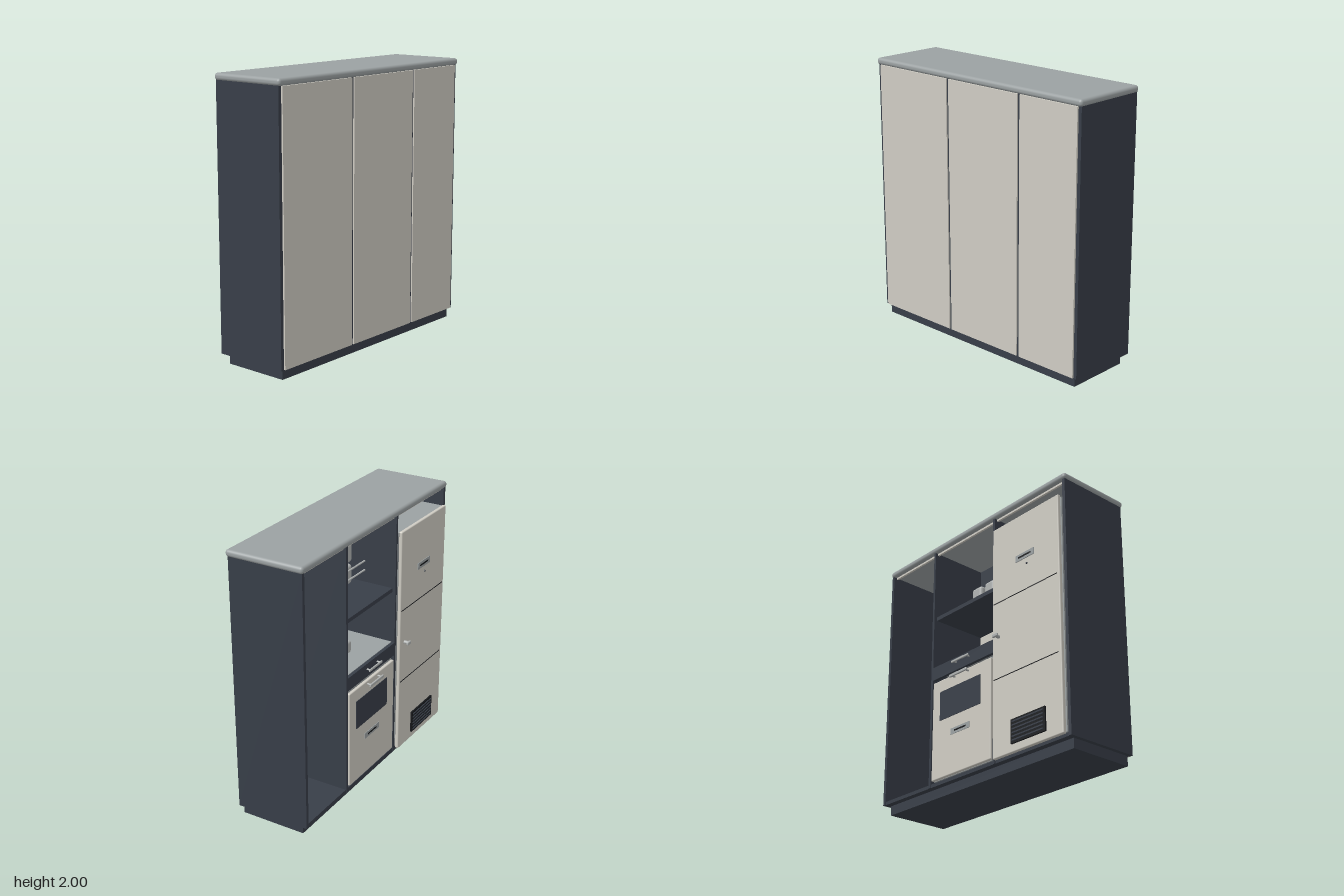
import * as THREE from 'three';
import { RoundedBoxGeometry } from 'three/addons/geometries/RoundedBoxGeometry.js';

const mat = (name, color) => new THREE.MeshStandardMaterial({ name, color });

export function createModel() {
  const model = new THREE.Group();
  model.name = 'kitchenCabinet';
  const cream = mat('cream', 0xcfccc3);
  const grey = mat('stoneGrey', 0x9ba1a2);
  const metal = mat('metal', 0xb0b3b2);
  const dark = mat('charcoal', 0x383e48);
  const black = mat('black', 0x17191c);

  const add = (name, geo, material, parent = model) => {
    const mesh = new THREE.Mesh(geo, material);
    mesh.name = name;
    parent.add(mesh);
    return mesh;
  };
  // Box given by its limits on each axis; r rounds the edges
  const box = (name, material, [x0, x1], [y0, y1], [z0, z1], r = 0, parent = model) => {
    const size = [x1 - x0, y1 - y0, z1 - z0];
    const geo = r ? new RoundedBoxGeometry(...size, 3, r) : new THREE.BoxGeometry(...size);
    add(name, geo, material, parent).position.set((x0 + x1) / 2, (y0 + y1) / 2, (z0 + z1) / 2);
  };
  // Round bar between two points
  const rod = (name, material, a, b, radius, parent = model) => {
    const path = new THREE.LineCurve3(new THREE.Vector3(...a), new THREE.Vector3(...b));
    const mesh = add(name, new THREE.CylinderGeometry(radius, radius, path.getLength(), 16), material, parent);
    mesh.position.copy(path.getPoint(0.5));
    mesh.quaternion.setFromUnitVectors(new THREE.Vector3(0, 1, 0), path.getTangent(0));
  };

  // Carcass
  box('plinth', dark, [-0.93, 0.93], [0, 0.07], [-0.205, 0.29]);
  box('floorBoard', dark, [-0.935, 0.935], [0.07, 0.095], [-0.25, 0.3]);
  for (const s of [-1, 1]) {
    const x = [s * 0.96, s * 0.935].sort((a, b) => a - b);
    box('sidePanel', dark, x, [0.07, 1.955], [-0.255, 0.308]);
  }
  for (const x of [-0.24, 0.43]) box('divider', dark, [x - 0.01, x + 0.01], [0.07, 1.955], [-0.255, 0.31]);
  box('top', grey, [-0.97, 0.97], [1.95, 2], [-0.265, 0.325], 0.022);
  box('topTrim', cream, [-0.93, 0.93], [1.935, 1.95], [-0.235, -0.22]);

  // Front panels between the dividers
  for (const x of [[-0.935, -0.25], [-0.23, 0.42], [0.44, 0.935]])
    box('frontPanel', cream, x, [0.075, 1.95], [0.3, 0.32]);

  // Refrigerator behind the large door
  const fridge = new THREE.Group();
  fridge.name = 'refrigerator';
  model.add(fridge);
  box('fridgeBody', grey, [-0.925, -0.255], [0.1, 1.82], [-0.255, 0.28], 0, fridge);
  box('fridgeDoor', cream, [-0.92, -0.26], [0.085, 1.83], [-0.285, -0.257], 0.008, fridge);
  for (const y of [1.225, 0.65])
    box('doorSeam', black, [-0.895, -0.27], [y - 0.003, y + 0.003], [-0.287, -0.28], 0, fridge);
  box('doorPlate', grey, [-0.68, -0.5], [1.465, 1.515], [-0.29, -0.284], 0, fridge);
  box('plateSlot', black, [-0.65, -0.53], [1.484, 1.496], [-0.292, -0.286], 0, fridge);
  rod('doorLamp', dark, [-0.61, 1.42, -0.283], [-0.61, 1.42, -0.291], 0.007, fridge);
  rod('knobStem', metal, [-0.325, 0.96, -0.28], [-0.325, 0.96, -0.315], 0.013, fridge);
  box('knobGrip', metal, [-0.35, -0.3], [0.947, 0.973], [-0.33, -0.312], 0.007, fridge);
  box('ventPlate', black, [-0.77, -0.45], [0.14, 0.31], [-0.297, -0.284], 0, fridge);
  for (let i = 0; i < 6; i++) {
    const y = 0.16 + i * 0.026;
    box('ventSlat', dark, [-0.755, -0.465], [y - 0.005, y + 0.005], [-0.303, -0.296], 0, fridge);
  }

  // Oven
  const oven = new THREE.Group();
  oven.name = 'oven';
  model.add(oven);
  box('ovenBody', grey, [-0.215, 0.405], [0.11, 0.87], [-0.235, 0.2], 0, oven);
  box('ovenDoor', cream, [-0.215, 0.405], [0.11, 0.855], [-0.262, -0.235], 0.008, oven);
  box('ovenWindow', dark, [-0.11, 0.32], [0.54, 0.76], [-0.266, -0.26], 0, oven);
  box('ovenPlate', grey, [0, 0.2], [0.4, 0.445], [-0.266, -0.26], 0, oven);
  box('plateSlot', black, [0.04, 0.16], [0.417, 0.428], [-0.268, -0.263], 0, oven);
  box('ovenHandle', metal, [0, 0.185], [0.82, 0.842], [-0.302, -0.288], 0.005, oven);
  for (const x of [0.02, 0.165]) rod('handlePost', metal, [x, 0.831, -0.26], [x, 0.831, -0.292], 0.007, oven);

  // Worktop and drawer
  box('drawerFront', dark, [-0.23, 0.42], [0.885, 0.985], [-0.255, -0.23]);
  box('worktop', grey, [-0.23, 0.42], [0.955, 0.988], [-0.23, 0.21]);
  box('drawerHandle', metal, [0.0, 0.18], [0.935, 0.953], [-0.29, -0.278], 0.005);
  for (const x of [0.02, 0.16]) rod('drawerPost', metal, [x, 0.944, -0.25], [x, 0.944, -0.282], 0.006);
  box('backsplash', cream, [-0.23, 0.42], [0.98, 1.38], [0.2, 0.21]);
  box('backLining', dark, [-0.23, 0.42], [1.38, 1.95], [0.2, 0.21]);
  box('counterBox', metal, [0.06, 0.23], [0.988, 1.085], [-0.07, 0.07], 0.02);

  // Shelf with storage jars and guard rails
  box('shelf', dark, [-0.23, 0.42], [1.38, 1.41], [-0.23, 0.2]);
  for (let col = 0; col < 4; col++) for (let row = 0; row < 2; row++) {
    const x = 0.31 - col * 0.14, y = 1.41 + row * 0.165;
    box('jar', metal, [x - 0.055, x + 0.055], [y, y + 0.15], [0.06, 0.17], 0.025);
  }
  for (const y of [1.5, 1.57]) rod('guardRail', metal, [-0.23, y, 0.0], [0.42, y, 0.0], 0.007);

  // Tall locker with upright rails and clamps
  for (const x of [0.49, 0.86]) {
    rod('uprightRail', metal, [x, 0.095, 0.25], [x, 1.93, 0.25], 0.016);
    for (const y of [0.73, 1.16, 1.7]) box('railClamp', dark, [x - 0.035, x + 0.035], [y - 0.015, y + 0.015], [0.2, 0.3]);
    add('railKnob', new THREE.SphereGeometry(0.028, 16, 12), cream).position.set(x, 1.06, 0.225);
  }
  box('lockerTray', dark, [0.45, 0.92], [0.29, 0.315], [0.19, 0.3]);
  return model;
}
